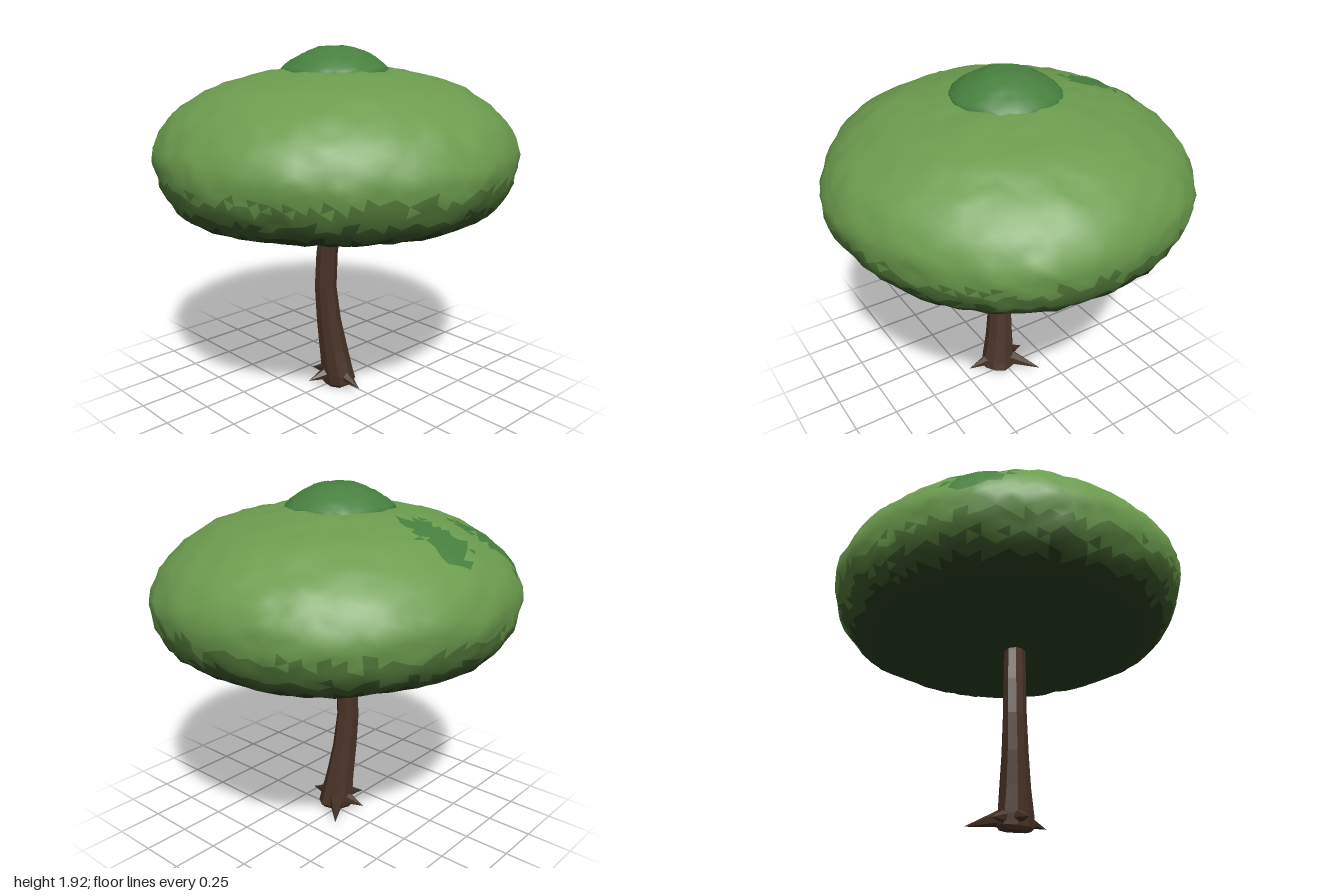
import * as THREE from 'three';
import { mergeVertices } from 'three/addons/utils/BufferGeometryUtils.js';

const V2 = (x, y) => new THREE.Vector2(x, y);

// Small deterministic value in -1..1 from a position
function jitter(x, y, z, seed) {
  const s = Math.sin(x * 127.1 + y * 311.7 + z * 74.7 + seed * 53.3) * 43758.5453;
  return (s - Math.floor(s)) * 2 - 1;
}

function mesh(name, geometry, color, flatShading = false) {
  const m = new THREE.Mesh(geometry, new THREE.MeshStandardMaterial({ color, flatShading, roughness: 1 }));
  m.name = name;
  return m;
}

// Irregular triangulated blob: a sphere remapped onto a top-to-bottom profile
function blob(profile, detail, depth, rough) {
  const ico = new THREE.IcosahedronGeometry(1, detail);
  ico.deleteAttribute('normal');
  ico.deleteAttribute('uv');
  ico.rotateX(0.3);
  const geo = mergeVertices(ico, 1e-4);
  const curve = new THREE.SplineCurve(profile);
  const p = geo.attributes.position;
  for (let i = 0; i < p.count; i++) {
    const x = p.getX(i), y = p.getY(i), z = p.getZ(i);
    const at = curve.getPointAt(Math.acos(THREE.MathUtils.clamp(y, -1, 1)) / Math.PI);
    const a = Math.atan2(z, x);
    const r = at.x * (1 + rough * jitter(x, y, z, 1)) + at.x * 0.008 * Math.sin(a * 5 + y * 4);
    p.setXYZ(i, r * Math.cos(a), at.y + rough * 0.6 * jitter(x, y, z, 2), r * Math.sin(a) * depth);
  }
  geo.computeVertexNormals();
  return geo;
}

// Share one surface between several colours, chosen per triangle
function splitByColor(geo, pick, parts) {
  const group = new THREE.Group();
  const p = geo.attributes.position, src = geo.index.array;
  const lists = {};
  const c = new THREE.Vector3(), v = new THREE.Vector3();
  for (let i = 0; i < src.length; i += 3) {
    c.set(0, 0, 0);
    for (let k = 0; k < 3; k++) c.add(v.fromBufferAttribute(p, src[i + k]));
    const key = pick(c.divideScalar(3));
    (lists[key] ??= []).push(src[i], src[i + 1], src[i + 2]);
  }
  for (const key in lists) {
    const g = new THREE.BufferGeometry();
    g.setAttribute('position', p);
    g.setAttribute('normal', geo.attributes.normal);
    g.setIndex(lists[key]);
    group.add(mesh(key, g, parts[key]));
  }
  return group;
}

function makeCanopy() {
  const geo = blob([
    V2(0, 1.82), V2(0.3, 1.8), V2(0.45, 1.77), V2(0.64, 1.72), V2(0.8, 1.63), V2(0.9, 1.55),
    V2(0.965, 1.45), V2(0.99, 1.36), V2(0.965, 1.23), V2(0.9, 1.12), V2(0.8, 1.06),
    V2(0.55, 1.02), V2(0.3, 1.0), V2(0, 0.99),
  ], 15, 0.97, 0.01);
  const patches = [[-0.55, -0.64, 0.15], [-0.38, -0.52, 0.07], [0, -0.68, 0.12], [-0.03, -0.53, 0.12]];
  const canopy = splitByColor(geo, (c) => {
    const n = jitter(c.x, c.y, c.z, 3);
    if (c.y < 1.1 + n * 0.02) return 'canopyUnderside';
    if (c.y < 1.17 + n * 0.03) return 'canopyLowerRim';
    if (c.y < 1.27 + n * 0.04) return 'canopyRim';
    if (c.y > 1.4 && patches.some(([x, z, r]) => Math.hypot(c.x - x, c.z - z) < r * (1 + 0.3 * n))) return 'darkLeafPatches';
    return 'canopyTop';
  }, {
    canopyUnderside: 0x2b4020, canopyLowerRim: 0x3d5a2c, canopyRim: 0x557d3c,
    canopyTop: 0x6c9c4e, darkLeafPatches: 0x47803f,
  });
  canopy.name = 'canopy';
  return canopy;
}

// Curved trunk: centre and half-widths of each section, listed from the top down
function makeTrunk() {
  const rows = [
    // y, x, z, halfX, halfZ
    [1.1, -0.04, 0.01, 0.06, 0.06],
    [0.98, -0.052, 0.008, 0.06, 0.06],
    [0.8, -0.07, -0.01, 0.062, 0.062],
    [0.6, -0.077, -0.015, 0.064, 0.063],
    [0.4, -0.064, -0.003, 0.073, 0.069],
    [0.22, -0.043, 0.014, 0.085, 0.08],
    [0.08, -0.028, 0.03, 0.092, 0.098],
    [0.03, -0.02, 0.035, 0.095, 0.1],
    [0.01, -0.02, 0.03, 0.08, 0.08],
  ];
  const n = rows.length - 1;
  const geo = new THREE.CylinderGeometry(1, 1, 1, 9, n);
  const p = geo.attributes.position;
  for (let i = 0; i < p.count; i++) {
    const [y, x, z, hx, hz] = rows[Math.round((0.5 - p.getY(i)) * n)];
    const px = p.getX(i), pz = p.getZ(i);
    const ridge = 1 + 0.06 * Math.cos(Math.atan2(pz, px) * 3);
    // The foot is cut at a slight slant
    const slant = y < 0.05 ? 0.01 * px : 0;
    p.setXYZ(i, x + px * hx * ridge, y + slant, z + pz * hz * ridge);
  }
  geo.computeVertexNormals();
  return mesh('trunk', geo, 0x4a3327, true);
}

// Pointed root from inside the trunk foot out to its tip
function makeRoot(tip) {
  const base = new THREE.Vector3(-0.025, 0.085, 0.02);
  const end = new THREE.Vector3(...tip);
  const dir = end.clone().sub(base);
  const root = mesh('root', new THREE.ConeGeometry(0.06, dir.length(), 6, 1), 0x443024, true);
  root.position.copy(base).add(end).multiplyScalar(0.5);
  root.quaternion.setFromUnitVectors(new THREE.Vector3(0, 1, 0), dir.normalize());
  return root;
}

export function createModel() {
  const tree = new THREE.Group();
  tree.name = 'tree';
  tree.add(makeCanopy());

  // Small dome of darker leaves on top
  const crown = mesh('crown', blob([
    V2(0, 1.92), V2(0.1, 1.912), V2(0.19, 1.875), V2(0.26, 1.83), V2(0.3, 1.78), V2(0.22, 1.74), V2(0, 1.73),
  ], 6, 0.98, 0.008), 0x47803f);
  crown.position.set(-0.01, 0, -0.005);
  tree.add(crown);

  tree.add(makeTrunk());
  const roots = new THREE.Group();
  roots.name = 'roots';
  for (const tip of [[-0.2, 0.045, -0.03], [-0.05, 0.04, 0.23], [0.175, 0.04, -0.14], [-0.06, 0.045, -0.155]]) {
    roots.add(makeRoot(tip));
  }
  tree.add(roots);
  return tree;
}
